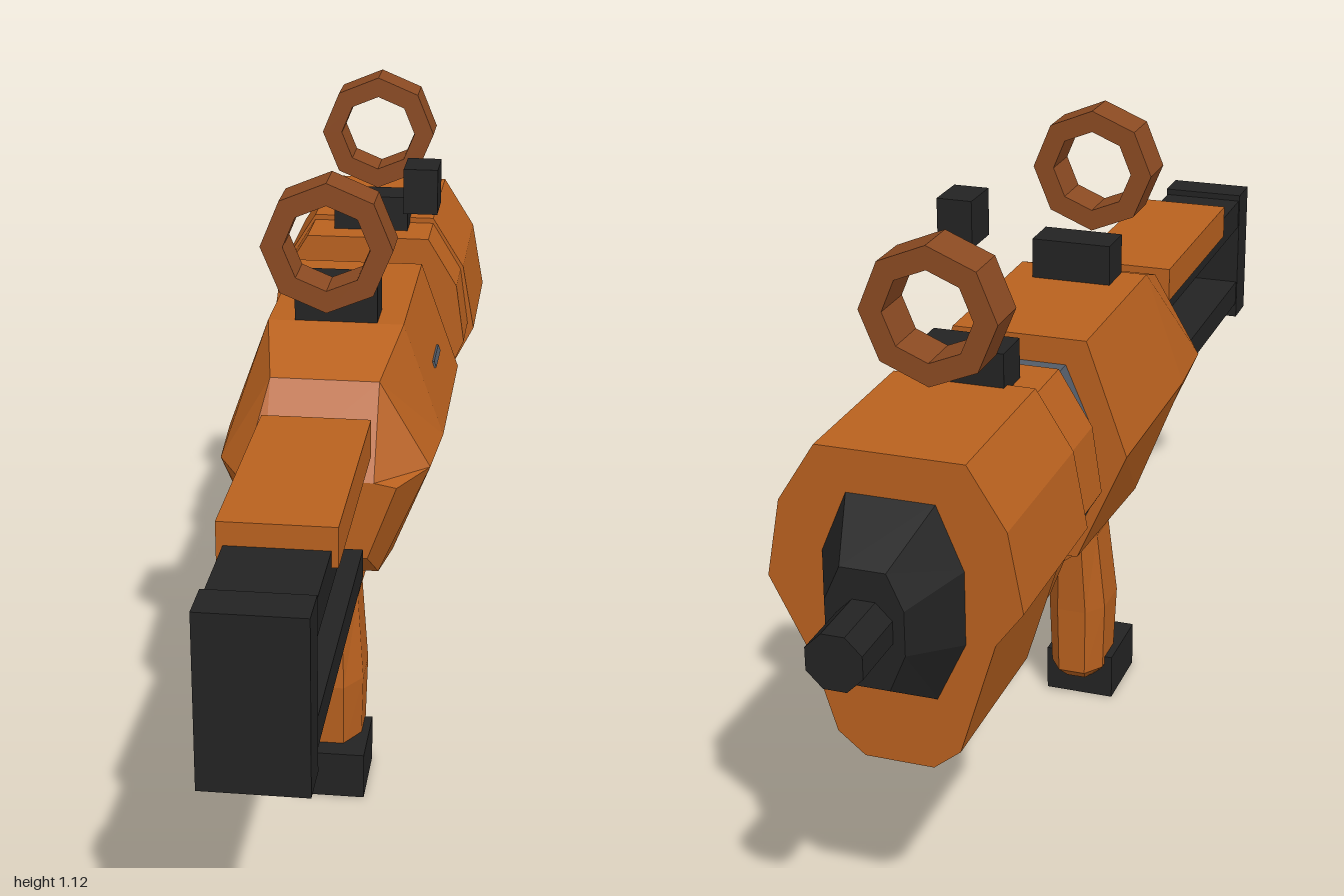
import * as THREE from 'three';

const mat = (name, color) => {
  const m = new THREE.MeshStandardMaterial({ color, flatShading: true });
  m.name = name;
  return m;
};

// Symmetric loft along z. Each section is [z, half profile from top to bottom on +x].
// darkSides lists half-profile edges that take the second material.
function loft(sections, darkSides = []) {
  const rings = sections.map(([z, half]) => [
    ...[...half].reverse().map(([x, y]) => [x, y, z]),
    ...half.map(([x, y]) => [-x, y, z]),
  ]);
  const n = rings[0].length, k = n / 2;
  const dark = new Set(darkSides.flatMap((j) => [k - 2 - j, k + j]));
  const lists = [[], []];
  const tri = (list, a, b, c) => list.push(...a, ...b, ...c);
  for (let s = 0; s + 1 < rings.length; s++) {
    for (let i = 0; i < n; i++) {
      const j = (i + 1) % n, A = rings[s], B = rings[s + 1];
      const list = lists[dark.has(i) ? 1 : 0];
      tri(list, A[i], A[j], B[j]);
      tri(list, A[i], B[j], B[i]);
    }
  }
  const first = rings[0], last = rings[rings.length - 1];
  for (let i = 1; i < n - 1; i++) {
    tri(lists[0], first[0], first[i + 1], first[i]);
    tri(lists[0], last[0], last[i], last[i + 1]);
  }
  const g = new THREE.BufferGeometry();
  g.setAttribute('position', new THREE.Float32BufferAttribute([...lists[0], ...lists[1]], 3));
  const n0 = lists[0].length / 3, n1 = lists[1].length / 3;
  g.addGroup(0, n0, 0);
  if (n1) g.addGroup(n0, n1, 1);
  g.computeVertexNormals();
  return g;
}

export function createModel() {
  const model = new THREE.Group();
  const orange = mat('orange shell', 0xb9611f);
  const brown = mat('brown rings', 0x8b4a22);
  const black = mat('black fittings', 0x232323);
  const grey = mat('grey metal', 0x535c68);

  const add = (name, geometry, material, x = 0, y = 0, z = 0) => {
    const mesh = new THREE.Mesh(geometry, material);
    mesh.name = name;
    mesh.position.set(x, y, z);
    model.add(mesh);
    return mesh;
  };
  // Box given by its limits on each axis
  const box = (name, material, [x0, x1], [y0, y1], [z0, z1]) =>
    add(name, new THREE.BoxGeometry(x1 - x0, y1 - y0, z1 - z0), material,
      (x0 + x1) / 2, (y0 + y1) / 2, (z0 + z1) / 2);

  // Receiver, tapering towards the stock
  add('receiver', loft([
    [-0.245, [[0.115, 0.85], [0.185, 0.655], [0.1, 0.46]]],
    [0.1, [[0.115, 0.85], [0.185, 0.655], [0.1, 0.435]]],
    [0.245, [[0.09, 0.8], [0.175, 0.655], [0.09, 0.46]]],
    [0.325, [[0.09, 0.655], [0.127, 0.648], [0.08, 0.52]]],
  ]), orange);
  const slot = add('receiverSlot', new THREE.BoxGeometry(0.008, 0.012, 0.09), grey, 0.156, 0.735, -0.07);
  slot.rotation.z = 0.345;

  // Grey collar with an inset hatch on one side
  const collar = [[0.08, 0.805], [0.125, 0.7], [0.125, 0.56], [0.085, 0.478]];
  add('collar', loft([[-0.39, collar], [-0.24, collar]]), grey);
  add('hatchFrame', new THREE.BoxGeometry(0.009, 0.085, 0.115), black, 0.103, 0.743, -0.313).rotation.z = 0.405;
  add('hatchPanel', new THREE.BoxGeometry(0.009, 0.068, 0.098), grey, 0.106, 0.744, -0.313).rotation.z = 0.405;

  // Forward housing in two steps, with black side bands and underside
  const rearStep = [[0.115, 0.855], [0.17, 0.765], [0.186, 0.655], [0.152, 0.6], [0.1, 0.46]];
  const frontStep = [[0.115, 0.865], [0.175, 0.77], [0.198, 0.645], [0.155, 0.587], [0.098, 0.4], [0.055, 0.365]];
  add('rearHousing', loft([[-0.5, rearStep], [-0.385, rearStep]], [2]), [orange, black]);
  add('frontHousing', loft([[-0.79, frontStep], [-0.495, frontStep]], [2, 4, 5]), [orange, black]);

  // Nose and muzzle
  add('nose', loft([
    [-0.895, [[0.035, 0.735], [0.06, 0.68], [0.06, 0.61], [0.035, 0.55]]],
    [-0.785, [[0.07, 0.8], [0.112, 0.7], [0.112, 0.58], [0.065, 0.48]]],
  ]), black);
  const barrel = new THREE.CylinderGeometry(0.046, 0.046, 0.11, 8).rotateY(Math.PI / 8).rotateX(Math.PI / 2);
  add('muzzle', barrel, black, 0, 0.645, -0.945);

  // Stock: two rails, end plate and cheek rest
  box('upperRail', black, [-0.078, 0.078], [0.68, 0.738], [0.37, 0.935]);
  box('lowerRail', black, [-0.078, 0.078], [0.508, 0.557], [0.37, 0.935]);
  box('buttPlate', black, [-0.08, 0.08], [0.478, 0.75], [0.93, 1]);
  box('cheekRest', orange, [-0.088, 0.088], [0.712, 0.775], [0.35, 0.765]);

  // Grip, lofted upwards: [y, front z, back z, half width]
  const grip = [
    [0.045, 0.06, 0.16, 0.035],
    [0.07, 0.032, 0.18, 0.05],
    [0.2, 0.03, 0.188, 0.054],
    [0.35, 0.02, 0.17, 0.042],
    [0.42, 0.012, 0.163, 0.06],
    [0.47, -0.04, 0.22, 0.09],
  ].map(([y, f, b, w]) => [y, [[w * 0.5, -f], [w, -f - 0.035], [w, -b + 0.045], [w * 0.45, -b]]]);
  add('grip', loft(grip).rotateX(-Math.PI / 2), orange);
  box('gripBase', black, [-0.064, 0.064], [0, 0.085], [0.08, 0.22]);

  // Trigger guard, drawn in (z, y) and extruded across x
  const plate = (points, width) => {
    const shape = new THREE.Shape(points.map(([z, y]) => new THREE.Vector2(-z, y)));
    return new THREE.ExtrudeGeometry(shape, { depth: width, bevelEnabled: false })
      .translate(0, 0, -width / 2).rotateY(Math.PI / 2);
  };
  add('triggerGuard', plate([
    [0.03, 0.33], [-0.085, 0.362], [-0.115, 0.465], [-0.09, 0.465],
    [-0.07, 0.385], [0.03, 0.355],
  ], 0.045), orange);
  add('guardRoot', plate([[0.04, 0.4], [0.02, 0.42], [-0.03, 0.455], [-0.11, 0.445], [-0.13, 0.47], [0.04, 0.47]], 0.07), orange);

  // Octagonal sight rings, mounting blocks and side block
  const octagon = (r) => Array.from({ length: 8 }, (_, i) =>
    new THREE.Vector2(r * Math.cos(i * Math.PI / 4), r * Math.sin(i * Math.PI / 4)));
  const ring = new THREE.Shape(octagon(0.108));
  ring.holes.push(new THREE.Path(octagon(0.071).reverse()));
  const ringGeometry = new THREE.ExtrudeGeometry(ring, { depth: 0.078, bevelEnabled: false });
  for (const [name, z] of [['rearSightRing', 0.143], ['frontSightRing', -0.635]])
    add(name, ringGeometry, brown, 0, 1.014, z);
  for (const [name, z] of [['rearSightMount', 0.025], ['frontSightMount', -0.51]])
    box(name, black, [-0.07, 0.07], [0.85, 0.92], [z, z + 0.072]);
  box('sideBlock', black, [0.09, 0.15], [0.975, 1.055], [-0.215, -0.135]);

  return model;
}
